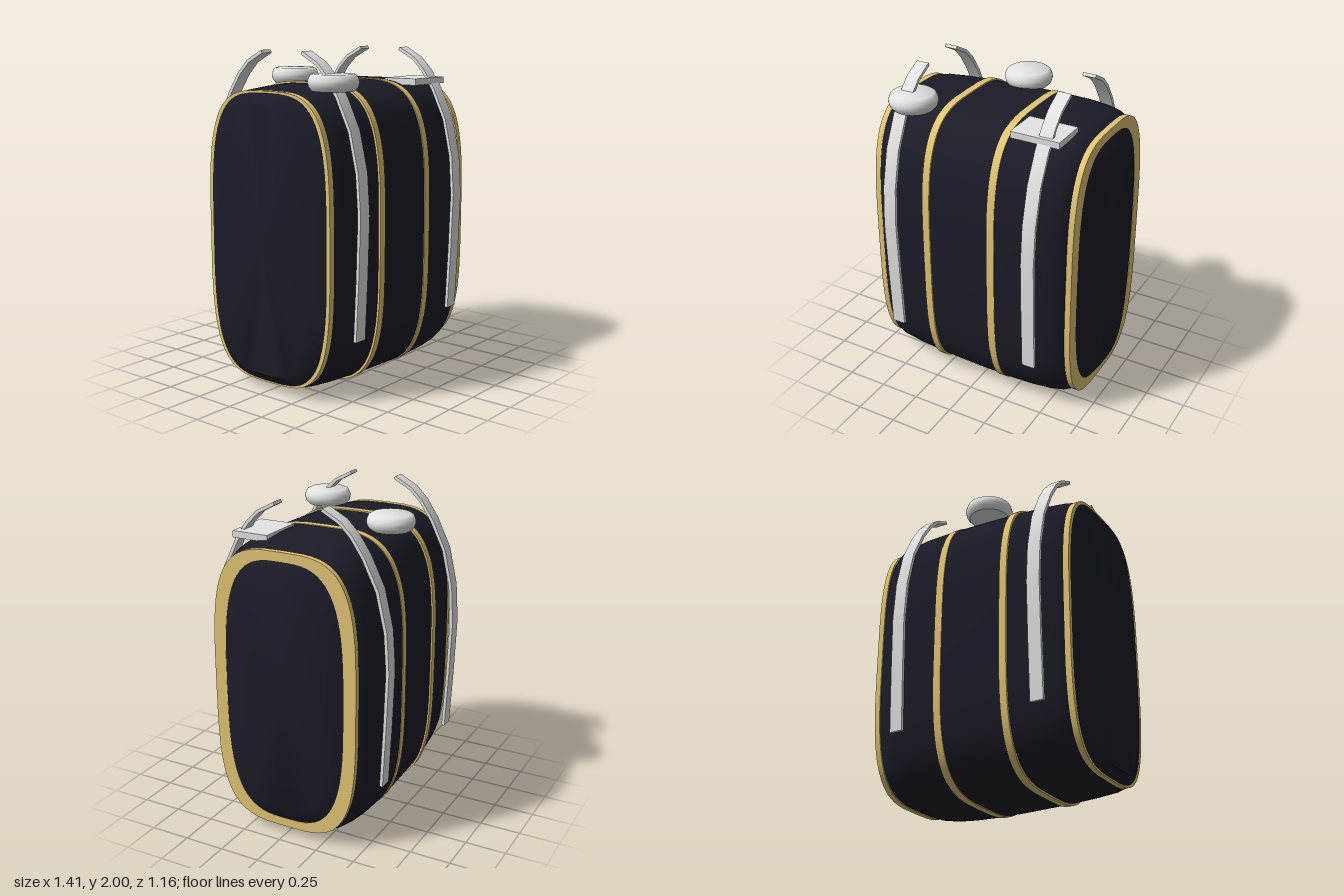
import * as THREE from 'three';
import { toCreasedNormals } from 'three/addons/utils/BufferGeometryUtils.js';

const SEG = 72;

// Superelliptic outline, counter-clockwise in (z, y)
function outline(halfZ, y0, y1, power = 3.6) {
  const pts = [], mid = (y0 + y1) / 2, halfY = (y1 - y0) / 2;
  const f = v => Math.sign(v) * Math.pow(Math.abs(v), 2 / power);
  for (let i = 0; i < SEG; i++) {
    const a = (i / SEG) * Math.PI * 2;
    pts.push(new THREE.Vector2(halfZ * f(Math.cos(a)), mid + halfY * f(Math.sin(a))));
  }
  return pts;
}

// Skin cross-sections along x and close both ends
function loft(stations) {
  const pos = [], idx = [], last = stations.length - 1;
  for (const [x, hz, y0, y1, power] of stations)
    for (const p of outline(hz, y0, y1, power)) pos.push(x, p.y, p.x);
  for (let s = 0; s < last; s++)
    for (let i = 0; i < SEG; i++) {
      const j = (i + 1) % SEG;
      const a = s * SEG + i, b = s * SEG + j, c = a + SEG, d = b + SEG;
      idx.push(a, c, b, b, c, d);
    }
  const c0 = pos.length / 3, c1 = c0 + 1;
  for (const s of [stations[0], stations[last]]) pos.push(s[0], (s[2] + s[3]) / 2, 0);
  for (let i = 0; i < SEG; i++) {
    const j = (i + 1) % SEG;
    idx.push(c0, i, j, c1, last * SEG + j, last * SEG + i);
  }
  const g = new THREE.BufferGeometry();
  g.setAttribute('position', new THREE.Float32BufferAttribute(pos, 3));
  g.setIndex(idx);
  return toCreasedNormals(g, 0.6);
}

// Extrude a (z, y) shape along x, centred on the given x
function extrudeX(shape, x, width) {
  const g = new THREE.ExtrudeGeometry(shape, { depth: width, bevelEnabled: false });
  g.rotateY(-Math.PI / 2); // shape x becomes z, depth becomes -x
  g.translate(x + width / 2, 0, 0);
  return toCreasedNormals(g, 0.5);
}

// Thin bent strap side profile with even thickness
function strapShape(path, thick) {
  const outer = [], inner = [];
  path.forEach((p, i) => {
    const a = path[Math.max(i - 1, 0)], b = path[Math.min(i + 1, path.length - 1)];
    const t = b.clone().sub(a).normalize();
    const n = new THREE.Vector2(t.y, -t.x).multiplyScalar(thick / 2);
    outer.push(p.clone().add(n));
    inner.unshift(p.clone().sub(n));
  });
  return new THREE.Shape([...outer, ...inner]);
}

export function createModel() {
  const model = new THREE.Group();
  model.name = 'barrelPack';
  const navy = new THREE.MeshStandardMaterial({ name: 'dark navy', color: 0x1c1c28 });
  const gold = new THREE.MeshStandardMaterial({ name: 'gold', color: 0xe4c676 });
  const silver = new THREE.MeshStandardMaterial({ name: 'light grey', color: 0xe4e4e4 });
  const add = (name, geometry, material) => {
    const mesh = new THREE.Mesh(geometry, material);
    mesh.name = name;
    model.add(mesh);
    return mesh;
  };

  // Bulging tank: x, half depth, bottom, top, corner power
  add('body', loft([
    [-0.708, 0.34, 0.11, 1.705, 3.3],
    [-0.665, 0.445, 0.06, 1.765, 3.5],
    [-0.63, 0.466, 0.048, 1.775],
    [-0.58, 0.487, 0.037, 1.783],
    [-0.45, 0.506, 0.027, 1.793],
    [-0.26, 0.522, 0.018, 1.802],
    [0, 0.53, 0.011, 1.808],
    [0.2, 0.532, 0.008, 1.811],
    [0.38, 0.528, 0.013, 1.809],
    [0.5, 0.515, 0.022, 1.80],
    [0.58, 0.495, 0.035, 1.787],
    [0.63, 0.462, 0.055, 1.765],
    [0.667, 0.388, 0.106, 1.724, 3.2],
    [0.706, 0.285, 0.165, 1.65, 3.1],
  ]), navy);

  // Gold hoops: x, width, half depth, bottom, top, band thickness in z and y
  const hoops = [
    ['rightEndHoop', -0.647, 0.036, 0.468, 0.05, 1.777, 0.075, 0.05],
    ['rightHoop', -0.265, 0.047, 0.533, 0.008, 1.811, 0.04, 0.04],
    ['leftHoop', 0.175, 0.047, 0.536, 0.003, 1.815, 0.04, 0.04],
    ['leftEndHoop', 0.65, 0.036, 0.468, 0.05, 1.777, 0.078, 0.055],
  ];
  for (const [name, x, w, hz, y0, y1, tz, ty] of hoops) {
    const shape = new THREE.Shape(outline(hz, y0, y1));
    shape.holes.push(new THREE.Path(outline(hz - tz, y0 + ty, y1 - ty, 3.2)));
    add(name, extrudeX(shape, x, w), gold);
  }

  // Round caps on top
  const capProfile = [[0, 0], [0.122, 0], [0.14, 0.02], [0.147, 0.045], [0.145, 0.06], [0.135, 0.085], [0.12, 0.095], [0, 0.097]]
    .map(([r, y]) => new THREE.Vector2(r, y));
  for (const [name, x, z] of [['frontCap', -0.455, 0.322], ['backCap', -0.045, -0.327]]) {
    const g = toCreasedNormals(new THREE.LatheGeometry(capProfile, 40), 0.8);
    add(name, g, silver).position.set(x, 1.78, z);
  }

  // Flat plate on top
  add('topPlate', new THREE.BoxGeometry(0.305, 0.04, 0.23), silver).position.set(0.383, 1.797, 0.285);

  // Bent straps, mirrored front to back
  const path = [[0.541, 0.375], [0.558, 0.75], [0.569, 1.1], [0.552, 1.34], [0.498, 1.57],
    [0.41, 1.75], [0.335, 1.86], [0.265, 1.93], [0.153, 1.99]];
  for (const side of [1, -1]) {
    const pts = path.map(([z, y]) => new THREE.Vector2(z * side, y));
    for (const x of [-0.492, 0.44]) {
      const name = (side > 0 ? 'front' : 'back') + (x > 0 ? 'LeftStrap' : 'RightStrap');
      add(name, extrudeX(strapShape(pts, 0.02), x, 0.083), silver);
    }
  }
  return model;
}
